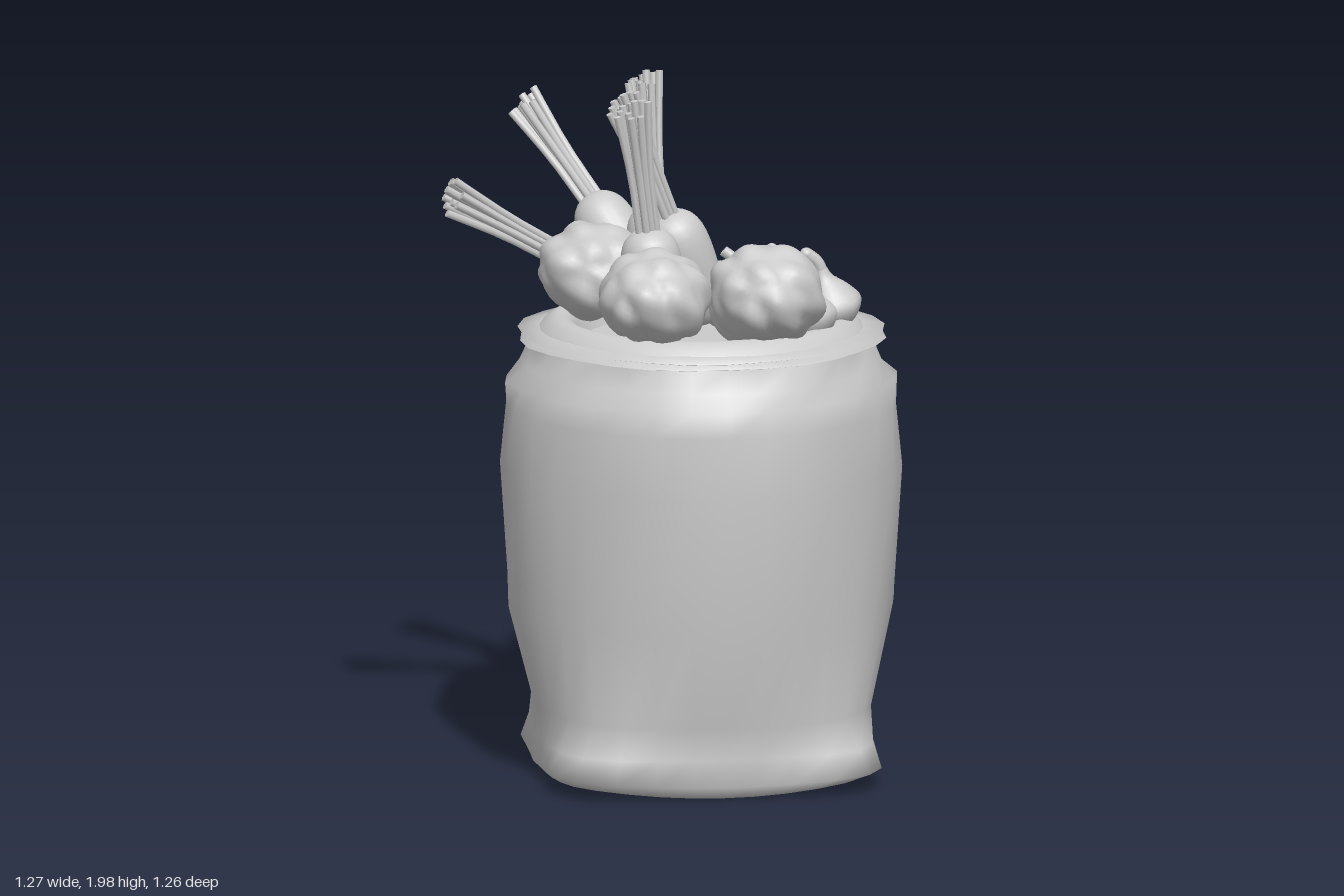
import * as THREE from 'three';
import { mergeVertices } from 'three/addons/utils/BufferGeometryUtils.js';

const CX = 0.072, CZ = 0.062; // sack axis
const grey = new THREE.MeshStandardMaterial({ color: 0xcccccc, side: THREE.DoubleSide });
const V = (x, y, z) => new THREE.Vector3(x, y, z);
const UP = V(0, 1, 0);

function add(parent, name, geometry, x = 0, y = 0, z = 0) {
  const mesh = new THREE.Mesh(geometry, grey);
  mesh.name = name;
  mesh.position.set(x, y, z);
  parent.add(mesh);
  return mesh;
}

// Smooth lathe through a few profile points
function turned(points, segments = 24, steps = 18) {
  const curve = new THREE.SplineCurve(points.map(([r, y]) => new THREE.Vector2(r, y)));
  const pts = curve.getPoints(steps);
  pts.forEach(p => { p.x = Math.max(p.x, 0); });
  return new THREE.LatheGeometry(pts, segments);
}

function tube(points, radius, segments = 6, sides = 6) {
  return new THREE.TubeGeometry(new THREE.CatmullRomCurve3(points), segments, radius, sides);
}

// Cloth sack: rings whose radius differs between sides and diagonals
function sackGeometry() {
  // [height, side radius, diagonal radius, wrinkle depth]
  const rings = [[0.02, 0, 0, 0], [0.012, 0.3, 0.32, 0], [0.014, 0.45, 0.51, 0],
    [0.05, 0.485, 0.6, 0], [0.13, 0.482, 0.565, 0], [0.22, 0.485, 0.52, 0.006],
    [0.5, 0.55, 0.54, 0.006], [0.9, 0.57, 0.553, 0.005], [1.08, 0.562, 0.55, 0.006],
    [1.15, 0.552, 0.535, 0.014], [1.2, 0.512, 0.505, 0.012], [1.265, 0.488, 0.485, 0]];
  const n = 32, pos = [], index = [];
  rings.forEach(([y, side, diag, wrinkle], j) => {
    for (let i = 0; i < n; i++) {
      const a = i / n * Math.PI * 2;
      const corner = Math.pow(Math.sin(2 * a), 4);
      const r = side + (diag - side) * corner + wrinkle * Math.sin(8 * a + 2.3 * j);
      const lift = j === 2 || j === 3 ? 0.015 * corner : 0;
      pos.push(CX + r * Math.sin(a), y + lift, CZ + r * Math.cos(a));
      if (j) {
        const k = (i + 1) % n, p = (j - 1) * n, q = j * n;
        index.push(p + i, p + k, q + k, p + i, q + k, q + i);
      }
    }
  });
  const g = new THREE.BufferGeometry();
  g.setAttribute('position', new THREE.Float32BufferAttribute(pos, 3));
  g.setIndex(index);
  g.computeVertexNormals();
  return g;
}

// Ragged hem layer, thin and flared
function hemGeometry(y, phase) {
  const g = new THREE.LatheGeometry([[0.47, y - 0.012], [0.522, y], [0.45, y + 0.012]]
    .map(([r, h]) => new THREE.Vector2(r, h)), 28);
  const p = g.attributes.position;
  for (let i = 0; i < p.count; i++) {
    const k = 1 + 0.015 * Math.sin(7 * Math.atan2(p.getZ(i), p.getX(i)) + phase);
    p.setXYZ(i, p.getX(i) * k, p.getY(i), p.getZ(i) * k);
  }
  return g;
}

// Lumpy head, displaced by broad and finer waves
function headGeometry(seed) {
  let g = new THREE.IcosahedronGeometry(1, 9);
  g.deleteAttribute('normal');
  g.deleteAttribute('uv');
  g = mergeVertices(g, 1e-4);
  const p = g.attributes.position, v = V(0, 0, 0);
  for (let i = 0; i < p.count; i++) {
    v.fromBufferAttribute(p, i);
    const broad = Math.sin(3 * v.x + seed) * Math.cos(3 * v.y + 2 * seed) + Math.sin(3.4 * v.z - seed);
    const lobes = Math.abs(Math.sin(4.5 * v.x + 2 * v.y + seed) * Math.cos(4.5 * v.z - 2 * v.y + seed));
    const fine = Math.sin(11 * v.x + seed) * Math.cos(10 * v.z) + Math.sin(10 * v.y + 4 * v.x);
    v.multiplyScalar(0.96 + 0.03 * broad + 0.12 * lobes + 0.012 * fine);
    p.setXYZ(i, v.x, v.y, v.z);
  }
  g.computeVertexNormals();
  return g;
}

// Lobed pepper with a sunken crown
function pepper(parent, x, y, z, turn) {
  const g = new THREE.SphereGeometry(1, 32, 20);
  const p = g.attributes.position, v = V(0, 0, 0);
  for (let i = 0; i < p.count; i++) {
    v.fromBufferAttribute(p, i);
    const r = Math.hypot(v.x, v.z), a = Math.atan2(v.z, v.x);
    const lobe = 1 + 0.07 * r * Math.cos(3 * a);
    const dip = v.y > 0 ? 0.5 * Math.exp(-r * r * 8) + 0.08 * r * (1 - Math.cos(3 * a)) * v.y : 0;
    p.setXYZ(i, v.x * lobe * 0.136, (v.y - dip) * 0.112, v.z * lobe * 0.132);
  }
  g.computeVertexNormals();
  const group = new THREE.Group();
  group.name = 'pepper';
  group.position.set(x, y, z);
  group.rotation.y = turn;
  add(group, 'pepperBody', g);
  add(group, 'pepperStem', tube([V(0, 0.04, 0), V(-0.005, 0.09, 0), V(-0.04, 0.125, -0.025)], 0.016));
  parent.add(group);
}

// Flattened tomato with four thin sepals
function tomato(parent, x, y, z, turn) {
  const group = new THREE.Group();
  group.name = 'tomato';
  group.position.set(x, y, z);
  group.rotation.y = turn;
  add(group, 'tomatoBody', turned([[0, -0.055], [0.06, -0.05], [0.092, 0], [0.07, 0.042], [0.03, 0.05], [0, 0.043]]));
  for (let i = 0; i < 4; i++) {
    const leaf = add(group, 'tomatoSepal', tube([V(0, 0.046, 0), V(0.04, 0.053, 0.004), V(0.078, 0.042, 0)], 0.005, 5, 5));
    leaf.rotation.y = i * Math.PI / 2;
  }
  parent.add(group);
}

// Garlic bulb with a bent neck
function garlic(parent, x, y, z, turn, size = 1) {
  const g = turned([[0, -0.07], [0.05, -0.06], [0.087, -0.01], [0.064, 0.04], [0.03, 0.08], [0.02, 0.11]]);
  const p = g.attributes.position;
  for (let i = 0; i < p.count; i++) {
    const k = 1 + 0.04 * Math.cos(6 * Math.atan2(p.getZ(i), p.getX(i)));
    p.setXYZ(i, p.getX(i) * k, p.getY(i), p.getZ(i) * k);
  }
  const group = new THREE.Group();
  group.name = 'garlic';
  group.position.set(x, y, z);
  group.scale.setScalar(size);
  group.rotation.set(0, turn, 0.3);
  add(group, 'garlicBulb', g);
  add(group, 'garlicNeck', tube([V(0, 0.08, 0), V(-0.003, 0.13, 0), V(-0.025, 0.165, 0)], 0.02, 8, 8));
  add(group, 'garlicTip', new THREE.SphereGeometry(0.02, 8, 6), -0.025, 0.165, 0);
  parent.add(group);
}

// Root from foot to crown, with a bundle of cut stalks reaching the tip
function root(parent, foot, crown, tip, radius) {
  const group = new THREE.Group();
  group.name = 'rootVegetable';
  const axis = crown.clone().sub(foot), h = axis.length();
  const body = add(group, 'rootBody', turned([[0, 0], [0.6 * radius, 0.02], [0.9 * radius, 0.3 * h],
    [radius, 0.65 * h], [0.88 * radius, 0.86 * h], [0.5 * radius, 0.97 * h], [0, h]]));
  body.position.copy(foot);
  body.quaternion.setFromUnitVectors(UP, axis.normalize());
  const dir = tip.clone().sub(crown), len = dir.length();
  const stalks = new THREE.Group();
  stalks.name = 'stalks';
  stalks.position.copy(crown);
  stalks.quaternion.setFromUnitVectors(UP, dir.normalize());
  for (let i = 0; i < 11; i++) {
    const a = i * 2.4, s = Math.sqrt((i + 0.3) / 11);
    const at = (r, y) => V(r * s * Math.cos(a), y, r * s * Math.sin(a));
    const top = len * (1 - 0.12 * ((i * 7) % 11) / 11);
    const pts = [at(0.03, -0.03), at(0.034, top * 0.45), at(0.056, top)];
    add(stalks, 'stalk', tube(pts, 0.0115, 5, 6));
    const cap = add(stalks, 'stalkEnd', new THREE.CircleGeometry(0.0115, 6));
    cap.position.copy(pts[2]);
    cap.rotation.x = -Math.PI / 2;
  }
  group.add(stalks);
  parent.add(group);
}

export function createModel() {
  const model = new THREE.Group();
  model.name = 'vegetableSack';
  add(model, 'sack', sackGeometry());

  // Hem layers, rolled rim and the inside below the filling
  add(model, 'lowerHem', hemGeometry(1.272, 0), CX, 0, CZ);
  add(model, 'upperHem', hemGeometry(1.29, 2), CX, 0, CZ);
  add(model, 'rim', turned([[0.475, 1.28], [0.46, 1.302], [0.43, 1.328], [0.4, 1.335], [0.365, 1.315], [0.34, 1.26]], 32, 20), CX, 0, CZ);
  add(model, 'inside', new THREE.CircleGeometry(0.35, 32).rotateX(-Math.PI / 2), CX, 1.26, CZ);

  // Lumpy heads
  [[-0.23, 1.46, 0.005, 0.16], [-0.103, 1.443, 0.355, 0.157], [0.212, 1.452, 0.388, 0.163]].forEach(([x, y, z, r], i) => {
    const head = add(model, 'cauliflower', headGeometry(1 + i * 1.7), x, y, z);
    head.scale.set(r, r * 0.86, r * 1.08);
  });

  // Roots: foot, crown, stalk tip, radius
  root(model, V(0, 1.28, -0.13), V(-0.03, 1.615, -0.175), V(-0.05, 1.985, -0.245), 0.088);
  root(model, V(0.1, 1.3, 0.01), V(-0.03, 1.63, 0.06), V(-0.165, 1.98, 0.085), 0.092);
  root(model, V(-0.06, 1.28, 0.16), V(-0.1, 1.61, 0.175), V(-0.15, 1.985, 0.2), 0.088);
  root(model, V(-0.01, 1.3, -0.24), V(-0.18, 1.59, -0.42), V(-0.355, 1.85, -0.585), 0.088);
  root(model, V(-0.05, 1.33, -0.22), V(-0.31, 1.47, -0.23), V(-0.63, 1.66, -0.185), 0.085);

  pepper(model, 0.205, 1.36, -0.08, 0.4);
  pepper(model, 0.215, 1.36, 0.14, 0.1);

  tomato(model, 0.19, 1.355, -0.25, 0.2);
  tomato(model, 0.385, 1.345, -0.235, 0.5);
  tomato(model, 0.405, 1.355, -0.07, 0.1);

  garlic(model, 0.435, 1.365, 0.14, 0.1);
  garlic(model, 0.35, 1.36, 0.27, -0.4, 0.95);
  garlic(model, 0.345, 1.36, 0.0, -0.6, 0.9);
  return model;
}
